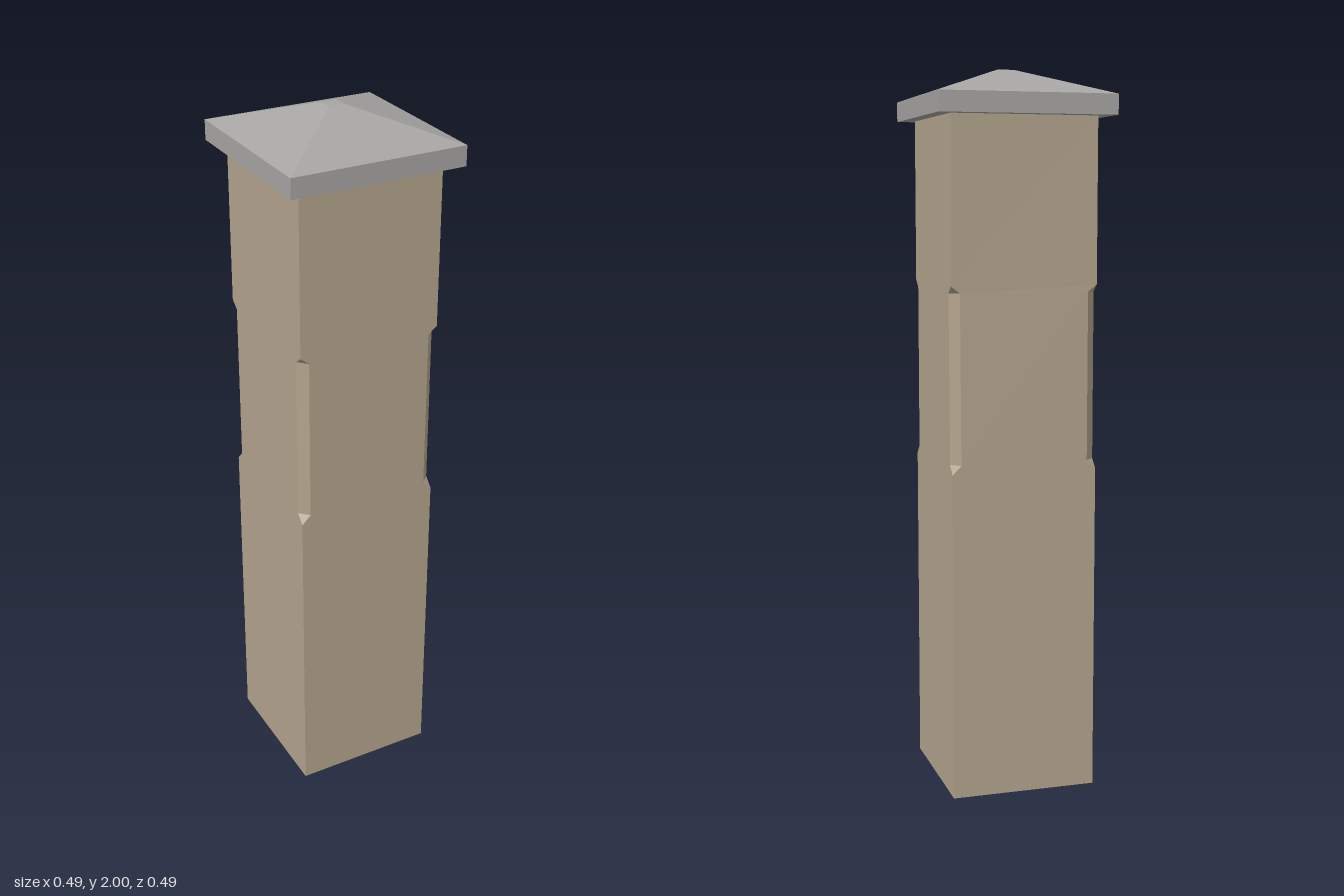
import * as THREE from 'three';

// Corners in order around the post, counter-clockwise from above
const CORNERS = [[1, 1], [1, -1], [-1, -1], [-1, 1]];

// Eight-point square ring: half width h, corner chamfer c, shift of the back +x corner in z
function ring(y, h, c = 0, shift = 0) {
  const pts = [];
  for (const [sx, sz] of CORNERS) {
    const dz = sx > 0 && sz < 0 ? shift : 0;
    const insetX = new THREE.Vector3(sx * (h - c), y, sz * h + dz);
    const insetZ = new THREE.Vector3(sx * h, y, sz * (h - c) + dz);
    pts.push(...(sx * sz > 0 ? [insetX, insetZ] : [insetZ, insetX]));
  }
  return pts;
}

// Joins rings from bottom to top into a closed, flat-faced solid
function loft(rings) {
  const pos = [];
  const tri = (a, b, c) => {
    if (new THREE.Triangle(a, b, c).getArea() < 1e-8) return;
    for (const p of [a, b, c]) pos.push(p.x, p.y, p.z);
  };
  for (let r = 0; r < rings.length - 1; r++) {
    const lo = rings[r], hi = rings[r + 1];
    for (let i = 0; i < 8; i++) {
      const j = (i + 1) % 8;
      tri(lo[i], lo[j], hi[j]);
      tri(lo[i], hi[j], hi[i]);
    }
  }
  const bottom = rings[0], top = rings[rings.length - 1];
  for (let i = 1; i < 7; i++) {
    tri(bottom[0], bottom[i + 1], bottom[i]);
    tri(top[0], top[i], top[i + 1]);
  }
  const geo = new THREE.BufferGeometry();
  geo.setAttribute('position', new THREE.Float32BufferAttribute(pos, 3));
  geo.computeVertexNormals();
  return geo;
}

export function createModel() {
  const group = new THREE.Group();
  group.name = 'stonePost';
  const sandstone = new THREE.MeshStandardMaterial({ color: 0xb3a38d });
  sandstone.name = 'sandstone';
  const greyStone = new THREE.MeshStandardMaterial({ color: 0xa6a5a3 });
  greyStone.name = 'greyStone';

  // Square shaft with a stopped chamfer on each corner
  const h = 0.204;
  const shaft = new THREE.Mesh(loft([
    ring(0, h),
    ring(0.912, h),
    ring(0.937, h, 0.025),
    ring(1.4, h, 0.025, 0.008),
    ring(1.42, h, 0, 0.008),
    ring(1.87, h),
  ]), sandstone);
  shaft.name = 'shaft';

  // Overhanging slab with a shallow pyramid and a small flat top
  const cap = new THREE.Mesh(loft([
    ring(1.87, 0.246),
    ring(1.925, 0.246),
    ring(2, 0.023),
  ]), greyStone);
  cap.name = 'cap';

  group.add(shaft, cap);
  return group;
}
